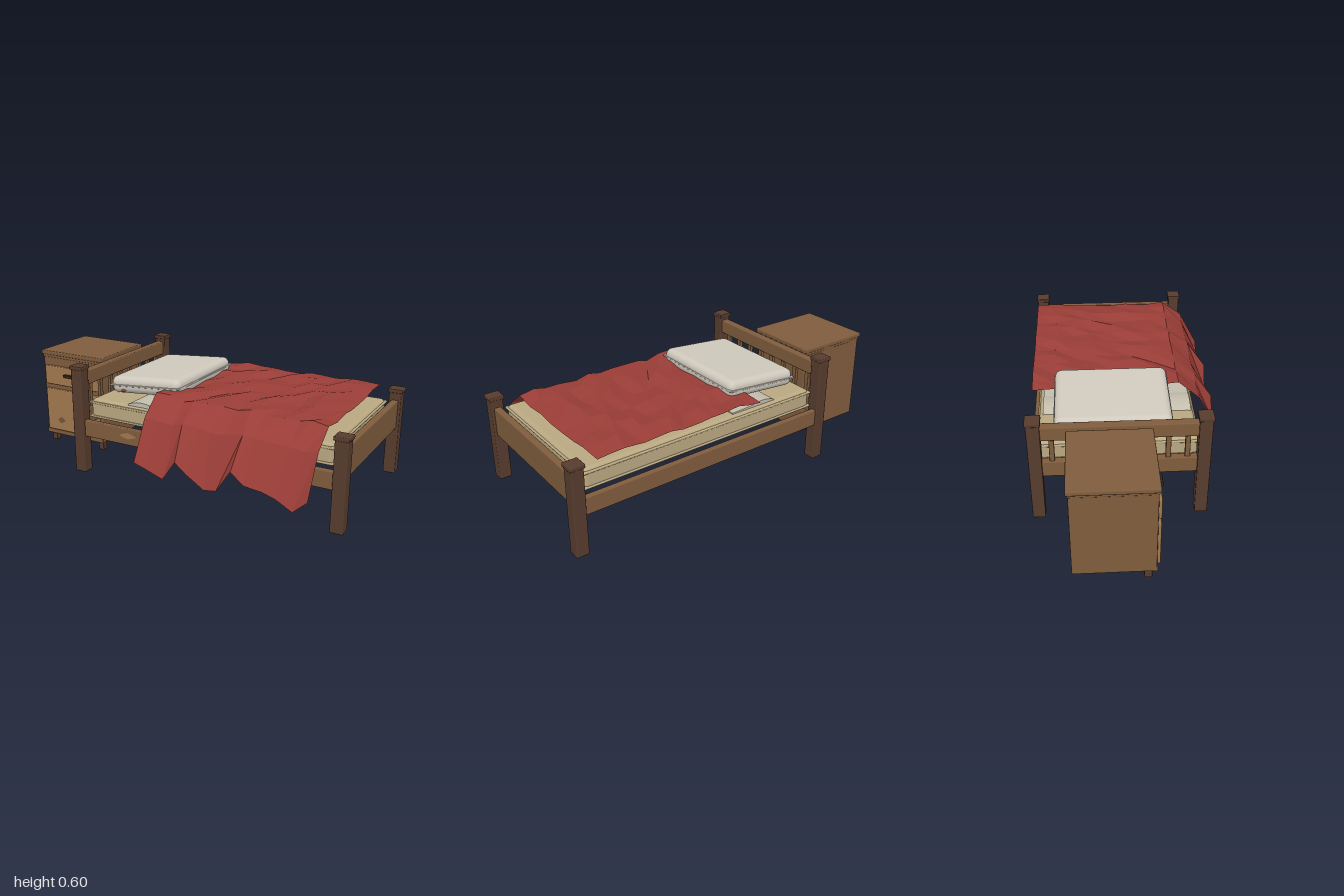
import * as THREE from 'three';
import { RoundedBoxGeometry } from 'three/addons/geometries/RoundedBoxGeometry.js';

const mat = (name, color, extra = {}) => {
  const m = new THREE.MeshStandardMaterial({ color, ...extra });
  m.name = name;
  return m;
};

export function createModel() {
  const root = new THREE.Group();
  root.name = 'bedAndNightstand';
  const M = {
    post: mat('darkWood', 0x573c2e),
    wood: mat('brownWood', 0x7f5c3d),
    panel: mat('lightWood', 0xa1784e),
    metal: mat('darkHandle', 0x35261d),
    stain: mat('stain', 0x77543a),
    mattress: mat('mattressCloth', 0xb9a881),
    sheet: mat('sheetCloth', 0xc4beae),
    pillow: mat('pillowCloth', 0xcfc9bd),
    blanket: mat('redBlanket', 0x9a3d37, { side: THREE.DoubleSide, flatShading: true }),
  };

  // Bevelled box given by its min and max corners
  const block = (parent, name, m, [x0, x1], [y0, y1], [z0, z1], r = 0.006, seg = 1) => {
    const mesh = new THREE.Mesh(new RoundedBoxGeometry(x1 - x0, y1 - y0, z1 - z0, seg, r), m);
    mesh.position.set((x0 + x1) / 2, (y0 + y1) / 2, (z0 + z1) / 2);
    mesh.name = name;
    parent.add(mesh);
    return mesh;
  };
  const group = (name) => {
    const g = new THREE.Group();
    g.name = name;
    root.add(g);
    return g;
  };
  // Irregular thin patch facing +z
  const patch = (parent, name, m, x, y, z, w, h) => {
    const s = new THREE.Shape();
    [1, 0.8, 1, 0.75, 1, 0.85, 0.95, 0.7].forEach((k, i) => {
      const a = (i / 8) * Math.PI * 2;
      s[i ? 'lineTo' : 'moveTo'](Math.cos(a) * k * w / 2, Math.sin(a) * k * h / 2);
    });
    const mesh = new THREE.Mesh(new THREE.ShapeGeometry(s), m);
    mesh.position.set(x, y, z);
    mesh.name = name;
    parent.add(mesh);
    return mesh;
  };

  // Bed frame: four capped posts
  const frame = group('bedFrame');
  for (const [x, top, end] of [[-0.511, 0.595, 'head'], [0.957, 0.476, 'foot']]) {
    for (const z of [0.36, -0.462]) {
      block(frame, end + 'Post', M.post, [x - 0.033, x + 0.033], [0, top - 0.015], [z - 0.033, z + 0.033]);
      block(frame, end + 'PostCap', M.post, [x - 0.039, x + 0.039], [top - 0.021, top], [z - 0.038, z + 0.038], 0.005);
    }
  }
  // Side rails, footboard and headboard
  block(frame, 'frontSideRail', M.wood, [-0.49, 0.935], [0.205, 0.297], [0.345, 0.376]);
  block(frame, 'backSideRail', M.wood, [-0.49, 0.935], [0.205, 0.297], [-0.487, -0.456]);
  block(frame, 'footboard', M.wood, [0.939, 0.976], [0.26, 0.416], [-0.44, 0.34]);
  block(frame, 'headTopRail', M.wood, [-0.533, -0.488], [0.48, 0.558], [-0.44, 0.34]);
  block(frame, 'headLowerRail', M.wood, [-0.53, -0.491], [0.26, 0.35], [-0.44, 0.34]);
  for (let i = 0; i < 8; i++) {
    const z = -0.379 + i * 0.094;
    block(frame, 'headSlat', M.wood, [-0.52, -0.501], [0.34, 0.49], [z - 0.013, z + 0.013], 0.003);
  }
  patch(frame, 'railScuff', M.panel, -0.2, 0.258, 0.3775, 0.11, 0.036);

  // Mattress with piping round both edges
  const bedding = group('bedding');
  block(bedding, 'mattress', M.mattress, [-0.46, 0.905], [0.304, 0.414], [-0.45, 0.343], 0.025, 3);
  for (const y of [0.318, 0.395]) {
    block(bedding, 'mattressPiping', M.mattress, [-0.466, 0.911], [y - 0.006, y + 0.006], [-0.456, 0.349], 0.005);
  }

  // Turned-back sheet showing beside the pillow
  const fold = new THREE.Shape();
  fold.moveTo(-0.23, 0.41);
  fold.lineTo(-0.22, 0.42);
  fold.quadraticCurveTo(-0.15, 0.448, -0.08, 0.425);
  fold.lineTo(0.05, 0.42);
  fold.lineTo(0.05, 0.41);
  const sheet = new THREE.Mesh(new THREE.ExtrudeGeometry(fold, { depth: 0.76, bevelEnabled: false, curveSegments: 6 }), M.sheet);
  sheet.position.z = -0.43;
  sheet.name = 'foldedSheet';
  bedding.add(sheet);

  // Pillow, raised at the blanket end
  const pillow = group('pillow');
  block(pillow, 'pillowBody', M.pillow, [-0.216, 0.216], [-0.047, 0.047], [-0.292, 0.292], 0.036, 3);
  block(pillow, 'pillowSeam', M.pillow, [-0.219, 0.219], [-0.005, 0.005], [-0.296, 0.296], 0.004);
  patch(pillow, 'pillowStain', M.stain, -0.13, -0.025, 0.2935, 0.04, 0.02);
  pillow.position.set(-0.202, 0.482, -0.075);
  pillow.rotation.z = 0.085;

  // Crumpled blanket: flat over the bed, falling past the front rail to a zigzag hem
  let seed = 11;
  const rand = () => (seed = (seed * 16807) % 2147483647) / 2147483647 - 0.5;
  const hem = [0.18, 0.16, 0.125, 0.23, 0.18, 0.12, 0.13, 0.245, 0.19, 0.18, 0.16, 0.115, 0.18];
  const rows = [-0.49, -0.38, -0.27, -0.16, -0.05, 0.06, 0.17, 0.28, 0.395, 0.503];
  const nx = hem.length - 1;
  const blanketGeo = new THREE.PlaneGeometry(1, 1, nx, rows.length - 1);
  const p = blanketGeo.attributes.position;
  rows.forEach((z, j) => hem.forEach((drop, i) => {
    const inX = i > 0 && i < nx, inZ = j > 0 && j < 7;
    const x = -0.08 + (0.935 * i) / nx + (inX ? rand() * 0.03 : 0);
    let y = 0.478 + rand() * 0.026;
    if (i === nx && inZ) y -= 0.02 * Math.sin((Math.PI * j) / 7);
    if (j === 8) y = 0.385 + (drop - 0.17) * 0.2;
    if (j === 9) y = drop;
    p.setXYZ(j * (nx + 1) + i, x, y, z + (inZ ? rand() * 0.03 : 0));
  }));
  blanketGeo.computeVertexNormals();
  const blanket = new THREE.Mesh(blanketGeo, M.blanket);
  blanket.name = 'blanket';
  bedding.add(blanket);

  // Nightstand carcass
  const stand = group('nightstand');
  block(stand, 'cabinet', M.wood, [-0.984, -0.571], [0.052, 0.53], [-0.297, 0.097], 0.008);
  block(stand, 'topMoulding', M.wood, [-0.985, -0.569], [0.522, 0.545], [-0.3, 0.1], 0.005);
  block(stand, 'topBoard', M.wood, [-0.992, -0.562], [0.538, 0.563], [-0.307, 0.106], 0.006);
  block(stand, 'baseLip', M.wood, [-0.984, -0.571], [0.052, 0.08], [0.08, 0.102], 0.005);
  // Drawer and door
  block(stand, 'drawerFront', M.panel, [-0.965, -0.587], [0.364, 0.476], [0.085, 0.114]);
  block(stand, 'door', M.panel, [-0.965, -0.587], [0.083, 0.337], [0.085, 0.114]);
  block(stand, 'drawerHandle', M.metal, [-0.82, -0.742], [0.421, 0.438], [0.11, 0.132], 0.004);
  block(stand, 'doorKnob', M.metal, [-0.662, -0.641], [0.241, 0.26], [0.11, 0.137], 0.004);
  patch(stand, 'doorStain', M.stain, -0.86, 0.15, 0.1155, 0.055, 0.042);
  // Front feet
  for (const x of [-0.953, -0.606]) {
    block(stand, 'foot', M.post, [x - 0.018, x + 0.018], [0, 0.056], [0.04, 0.077], 0.005);
  }

  return root;
}
